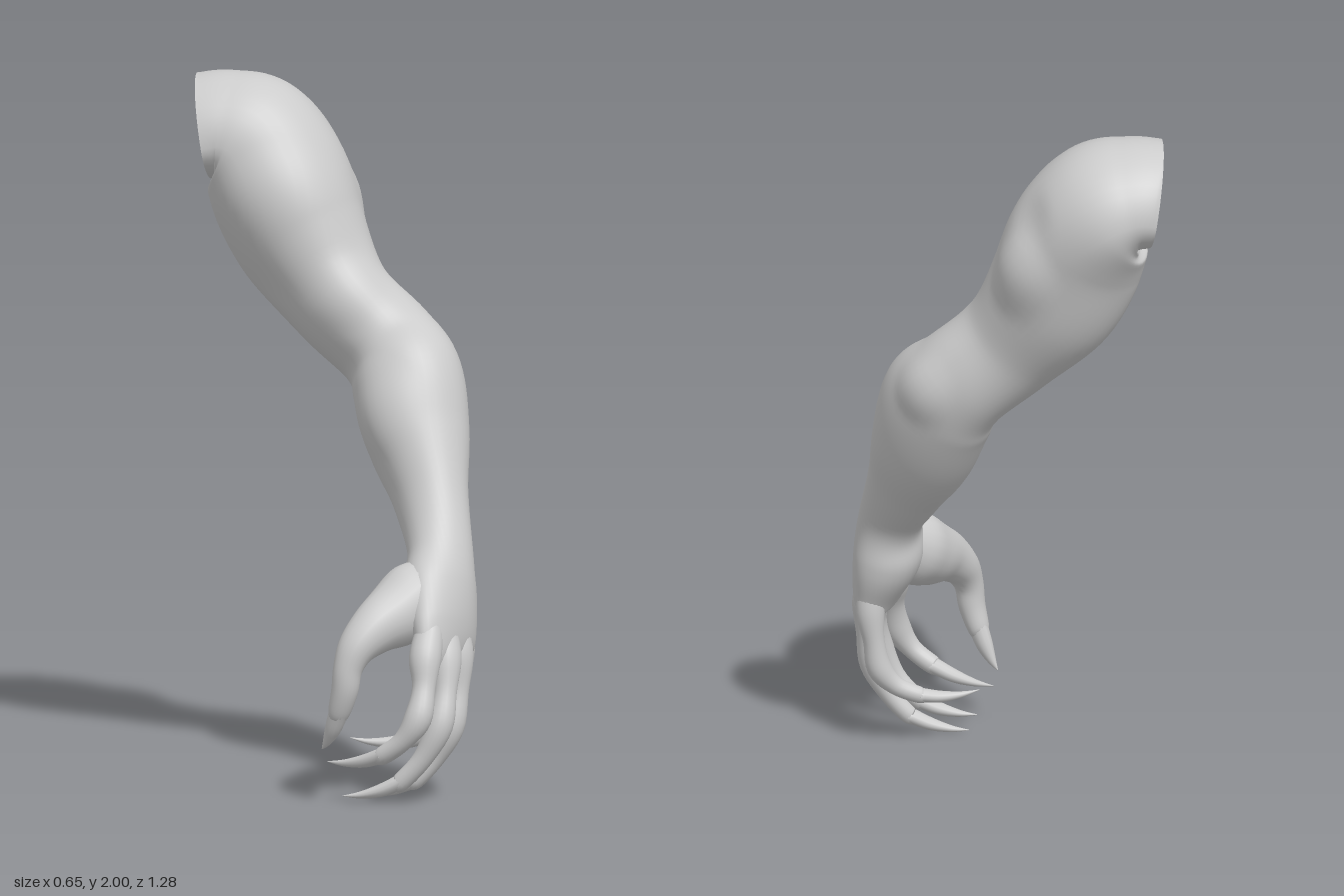
import * as THREE from 'three';

const V = (x, y, z) => new THREE.Vector3(x, y, z);

// Catmull-Rom resampling of rows of numbers
function resample(rows, steps) {
  const out = [], n = rows.length;
  for (let i = 0; i < n - 1; i++) {
    const b = rows[i], c = rows[i + 1], d = rows[Math.min(i + 2, n - 1)];
    const a = rows[i - 1] ?? b.map((value, k) => 2 * value - c[k]);
    for (let s = 0; s < steps; s++) {
      const t = s / steps;
      out.push(b.map((_, k) => 0.5 * (2 * b[k] + (c[k] - a[k]) * t
        + (2 * a[k] - 5 * b[k] + 4 * c[k] - d[k]) * t * t
        + (3 * b[k] - a[k] - 3 * c[k] + d[k]) * t * t * t)));
    }
  }
  out.push(rows[n - 1]);
  return out;
}

// Loft through sections [x, y, z, turn, +side, -side, +front, -front]; bumps are [x, y, z, radius, height]
function loft(sections, sides, steps, bumps = []) {
  const rows = resample(sections, steps), pos = [], idx = [];
  const centre = rows.map(r => V(r[0], r[1], r[2])), last = rows.length - 1;
  rows.forEach((r, i) => {
    const t = centre[Math.min(i + 1, last)].clone().sub(centre[Math.max(i - 1, 0)]).normalize();
    const a = r[3] * Math.PI / 180;
    const u = V(Math.cos(a), 0, -Math.sin(a));
    u.addScaledVector(t, -u.dot(t)).normalize();
    const v = t.clone().cross(u);
    for (let j = 0; j < sides; j++) {
      const q = j / sides * Math.PI * 2, c = Math.cos(q), s = Math.sin(q);
      const off = u.clone().multiplyScalar(c * (c > 0 ? r[4] : r[5]))
        .addScaledVector(v, s * (s > 0 ? r[6] : r[7]));
      const p = centre[i].clone().add(off), dir = off.clone().normalize();
      for (const [x, y, z, rad, h] of bumps) {
        const d = V(x, y, z).distanceTo(p) / rad;
        if (d < 1) p.addScaledVector(dir, h * (1 - d * d) ** 2);
      }
      pos.push(p.x, p.y, p.z);
    }
  });
  for (let i = 0; i < last; i++) for (let j = 0; j < sides; j++) {
    const k = (j + 1) % sides, a = i * sides, b = a + sides;
    idx.push(a + j, a + k, b + j, a + k, b + k, b + j);
  }
  // Caps have their own corners, so the cut edge stays sharp
  for (const [i, end] of [[0, false], [last, true]]) {
    const start = pos.length / 3;
    pos.push(...pos.slice(i * sides * 3, (i + 1) * sides * 3), ...centre[i].toArray());
    for (let j = 0; j < sides; j++) {
      const p = start + j, q = start + (j + 1) % sides;
      idx.push(start + sides, end ? p : q, end ? q : p);
    }
  }
  const g = new THREE.BufferGeometry();
  g.setAttribute('position', new THREE.Float32BufferAttribute(pos, 3));
  g.setIndex(idx);
  g.computeVertexNormals();
  return g;
}

export function createModel() {
  const group = new THREE.Group();
  const skin = new THREE.MeshStandardMaterial({ color: 0xcccccc });
  const add = (name, geometry, parent = group) => {
    const m = new THREE.Mesh(geometry, skin);
    m.name = name;
    parent.add(m);
  };

  // Shoulder cut, upper arm, elbow, forearm, wrist and palm
  const armSections = [
    [-0.165, 1.80, -0.48, 53, 0.20, 0.20, 0.195, 0.11],
    [-0.12, 1.807, -0.445, 53, 0.215, 0.205, 0.195, 0.135],
    [-0.075, 1.78, -0.40, 48, 0.23, 0.21, 0.22, 0.17],
    [-0.025, 1.69, -0.33, 36, 0.215, 0.205, 0.215, 0.205],
    [0.025, 1.53, -0.25, 20, 0.175, 0.175, 0.19, 0.215],
    [0.075, 1.37, -0.125, 8, 0.14, 0.145, 0.145, 0.18],
    [0.15, 1.25, -0.005, 4, 0.145, 0.135, 0.135, 0.18],
    [0.165, 1.15, 0.085, 2, 0.15, 0.155, 0.165, 0.195],
    [0.145, 0.99, 0.18, 0, 0.14, 0.145, 0.145, 0.18],
    [0.115, 0.84, 0.285, 5, 0.105, 0.10, 0.11, 0.135],
    [0.085, 0.70, 0.385, 18, 0.095, 0.10, 0.085, 0.098],
    [0.06, 0.60, 0.43, 28, 0.12, 0.14, 0.085, 0.10],
    [0.045, 0.50, 0.465, 33, 0.14, 0.16, 0.075, 0.085],
    [0.03, 0.425, 0.49, 34, 0.145, 0.155, 0.055, 0.06],
    [0.03, 0.375, 0.49, 34, 0.12, 0.125, 0.025, 0.025],
  ];
  const muscles = [
    [0.2, 1.62, -0.3, 0.15, 0.03],     // outer upper arm
    [-0.1, 1.60, -0.15, 0.24, 0.03],   // inner front of the upper arm
    [0.03, 1.40, -0.02, 0.13, 0.015],  // biceps
    [0.29, 1.22, 0.0, 0.12, 0.02],     // elbow
    [0.02, 1.08, 0.14, 0.17, 0.02],    // inner forearm
    [0.13, 1.78, -0.33, 0.1, -0.015],  // groove beside the shoulder
    [0.09, 0.55, 0.33, 0.16, 0.032],   // heel of the palm
  ];
  add('arm', loft(armSections, 40, 8, muscles));

  // Digits: points [x, y, z, radius, flatness] along the bones, then the claw tip
  const digits = {
    thumb: { turn: 90, bones: [[0.07, 0.63, 0.40, 0.07, 1], [-0.02, 0.575, 0.42, 0.108, 0.95], [-0.10, 0.535, 0.435, 0.098, 0.95],
      [-0.18, 0.502, 0.45, 0.077, 0.95], [-0.245, 0.453, 0.455, 0.057, 1], [-0.277, 0.395, 0.455, 0.043, 1],
      [-0.285, 0.33, 0.45, 0.039, 1], [-0.292, 0.265, 0.43, 0.032, 1]],
      tip: [-0.305, 0.15, 0.36] },
    indexFinger: { turn: 34, bones: [[-0.05, 0.5, 0.535, 0.04], [-0.085, 0.42, 0.565, 0.047], [-0.105, 0.34, 0.59, 0.034],
      [-0.135, 0.255, 0.605, 0.04], [-0.17, 0.19, 0.58, 0.029], [-0.205, 0.145, 0.53, 0.027]],
      tip: [-0.28, 0.11, 0.35] },
    middleFinger: { turn: 34, bones: [[0.015, 0.5, 0.505, 0.04], [0.0, 0.41, 0.54, 0.047], [-0.02, 0.32, 0.57, 0.034],
      [-0.05, 0.225, 0.585, 0.04], [-0.09, 0.13, 0.56, 0.029], [-0.135, 0.06, 0.515, 0.027]],
      tip: [-0.26, 0.015, 0.40] },
    ringFinger: { turn: 34, bones: [[0.07, 0.5, 0.47, 0.04], [0.07, 0.41, 0.495, 0.046], [0.06, 0.31, 0.51, 0.033],
      [0.035, 0.205, 0.515, 0.038], [0.0, 0.115, 0.485, 0.028], [-0.045, 0.05, 0.45, 0.026]],
      tip: [-0.17, 0.006, 0.33] },
    littleFinger: { turn: 34, bones: [[0.115, 0.5, 0.42, 0.04], [0.127, 0.41, 0.42, 0.042], [0.122, 0.32, 0.41, 0.031],
      [0.105, 0.235, 0.405, 0.036], [0.065, 0.18, 0.38, 0.027], [0.01, 0.15, 0.34, 0.024]],
      tip: [-0.14, 0.155, 0.25] },
  };
  for (const [name, { turn, bones, tip }] of Object.entries(digits)) {
    const digit = new THREE.Group();
    digit.name = name;
    group.add(digit);
    const row = ([x, y, z, r, flat = 1]) => [x, y, z, turn, r * flat, r * flat, r, r];

    // Rounded finger end
    const end = V(...bones.at(-1)), r = bones.at(-1)[3];
    const toTip = V(...tip).sub(end), dir = toTip.clone().normalize();
    const along = (d, radius) => [...end.clone().addScaledVector(dir, d).toArray(), radius, 1];
    const finger = [...bones, along(r * 0.7, r * 0.7), along(r, r * 0.15)];
    add('finger', loft(finger.map(row), 20, 5), digit);

    // Curved, tapering claw
    const claw = [[0, 0.85], [0.35, 0.7], [0.7, 0.38], [1, 0.04]].map(([k, size]) => {
      const p = end.clone().addScaledVector(toTip, k);
      p.y -= 0.012 * Math.sin(k * Math.PI);
      return row([p.x, p.y, p.z, r * size, 1.2]);
    });
    add('claw', loft(claw, 12, 5), digit);
  }
  return group;
}
